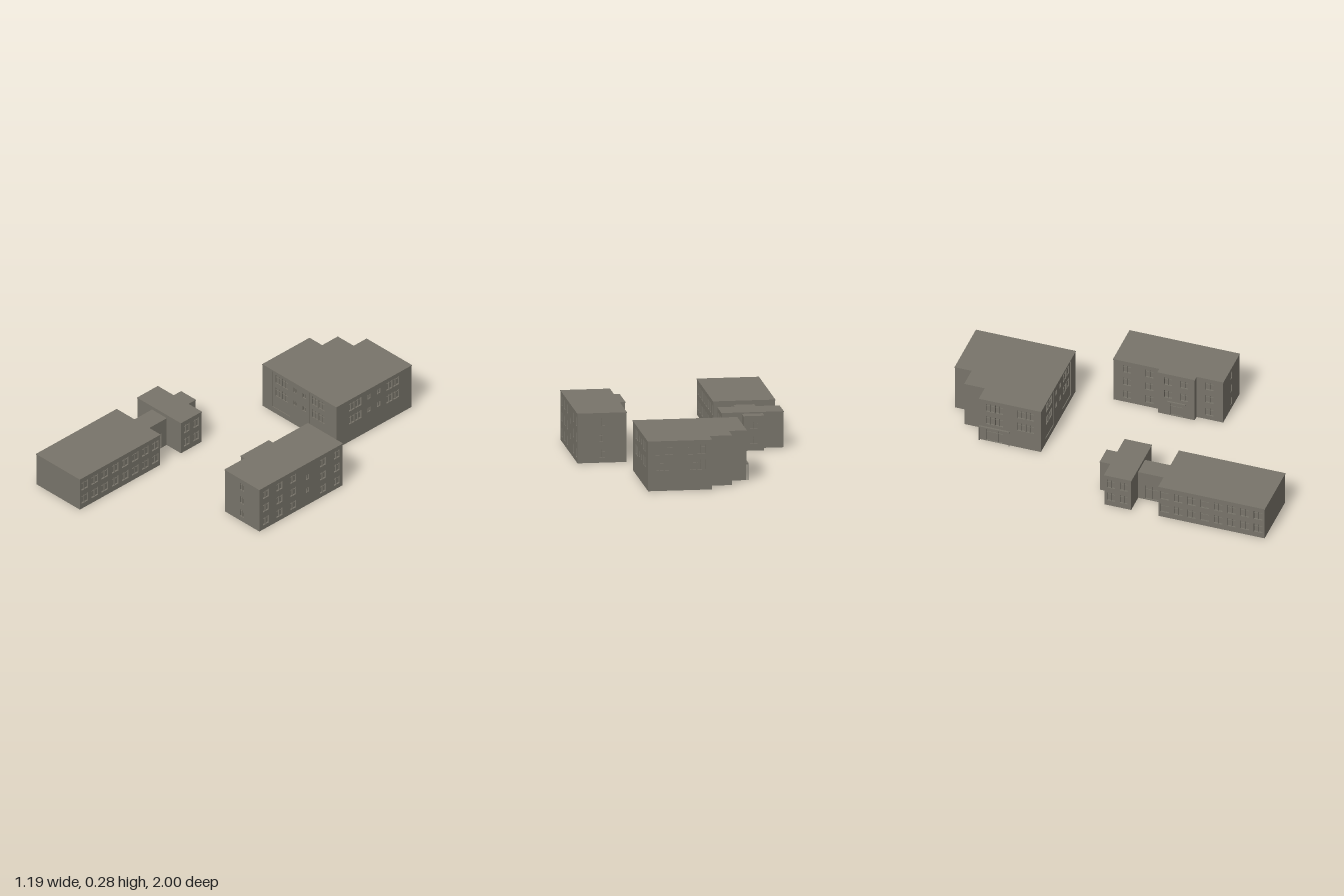
import * as THREE from 'three';

const wallGrey = new THREE.MeshStandardMaterial({ color: 0x78746a });
wallGrey.name = 'wallGrey';
const T = 0.01; // wall thickness, also the depth of the window reveals

function add(parent, name, geo, x = 0, y = 0, z = 0) {
  const m = new THREE.Mesh(geo, wallGrey);
  m.name = name;
  m.position.set(x, y, z);
  parent.add(m);
  return m;
}

function rect(Type, x, y, w, h) {
  const s = new Type();
  s.moveTo(x, y); s.lineTo(x + w, y); s.lineTo(x + w, y + h); s.lineTo(x, y + h);
  s.closePath();
  return s;
}

// Slab with openings {u, y, w, h, panes, inner}; u and y are opening centres
function slab(parent, name, x, y, w, h, openings, depth) {
  const s = rect(THREE.Shape, x, y, w, h);
  for (const o of openings) {
    s.holes.push(rect(THREE.Path, o.u - o.w / 2, o.y - o.h / 2, o.w, o.h));
    if (o.inner) {
      slab(parent, 'recessedPanel', o.u - o.w / 2, o.y - o.h / 2, o.w, o.h,
        o.inner.map(i => ({ ...i, u: o.u + i.u })), depth * 0.6);
    } else {
      for (let k = 1; k < o.panes; k++)
        add(parent, 'mullion', new THREE.BoxGeometry(0.004, o.h, depth * 0.7),
          o.u - o.w / 2 + (k * o.w) / o.panes, o.y, depth * 0.35);
      if (o.panes) add(parent, 'transom', new THREE.BoxGeometry(o.w, 0.002, 0.004), o.u, o.y + o.h * 0.2, 0.002);
    }
  }
  add(parent, name, new THREE.ExtrudeGeometry(s, { depth, bevelEnabled: false }));
}

// Footprint moved outward by d (negative moves inward); right-angled corners only
function offset(pts, d) {
  const n = pts.length;
  const normal = (p, q) => [-Math.sign(q[1] - p[1]), Math.sign(q[0] - p[0])];
  return pts.map((p, i) => {
    const a = normal(pts[(i + n - 1) % n], p), b = normal(p, pts[(i + 1) % n]);
    return [p[0] + d * (a[0] + b[0]), p[1] + d * (a[1] + b[1])];
  });
}

function prism(parent, name, pts, y, height) {
  const s = new THREE.Shape(pts.map(([x, z]) => new THREE.Vector2(x, -z)));
  const g = new THREE.ExtrudeGeometry(s, { depth: height, bevelEnabled: false }).rotateX(-Math.PI / 2);
  return add(parent, name, g, 0, y, 0);
}

// Footprint corners (x, z) run along the front to the right, then round by the back.
// openings[i] belongs to the wall after corner i; c is its world x or z.
function building(root, name, pts, height, openings = {}) {
  const g = new THREE.Group();
  g.name = name;
  root.add(g);
  prism(g, 'core', offset(pts, -T), 0, height - 0.002);
  prism(g, 'roof', offset(pts, 0.002), height - 0.005, 0.005);
  pts.forEach((p, i) => {
    const q = pts[(i + 1) % pts.length];
    const dx = q[0] - p[0], dz = q[1] - p[1], len = Math.hypot(dx, dz);
    const wall = new THREE.Group();
    wall.name = 'wall';
    wall.rotation.y = Math.atan2(-dz, dx);
    wall.position.set(p[0] + (dz / len) * T, 0, p[1] - (dx / len) * T);
    g.add(wall);
    const list = (openings[i] || []).map(o => ({ ...o, u: Math.abs(o.c - (dx ? p[0] : p[1])) }));
    slab(wall, 'facade', 0, 0, len, height - 0.003, list, T);
  });
  return g;
}

const box = (x0, x1, z0, z1) => [[x0, z1], [x1, z1], [x1, z0], [x0, z0]];

// Grid of equal windows
function grid(cs, ys, w, h, panes = 2) {
  return cs.flatMap(c => ys.map(y => ({ c, u: c, y, w, h, panes })));
}

// Pairs of nearly square windows
const pairs = (cs, ys) => grid(cs.flatMap(c => [c - 0.026, c + 0.026]), ys, 0.045, 0.054);

function cuboid(parent, name, x0, x1, y0, y1, z0, z1) {
  add(parent, name, new THREE.BoxGeometry(x1 - x0, y1 - y0, z1 - z0),
    (x0 + x1) / 2, (y0 + y1) / 2, (z0 + z1) / 2);
}

export function createModel() {
  const root = new THREE.Group();
  root.name = 'buildingComplex';

  // Stepped block at the back
  const rows = [0.228, 0.142];
  const panel = c => ({ c, y: 0.152, w: 0.138, h: 0.236, inner: pairs([0], rows) });
  const smallX = grid([-0.01, 0.062], rows, 0.026, 0.03);
  const stepped = building(root, 'steppedBlock', [
    [-0.265, -0.42], [0.315, -0.42], [0.315, -1], [-0.04, -1],
    [-0.04, -0.9], [-0.165, -0.9], [-0.165, -0.78], [-0.265, -0.78],
  ], 0.28, {
    0: [panel(-0.12), panel(0.168), ...smallX],
    1: [...pairs([-0.565, -0.855], rows), ...grid([-0.672, -0.746], rows, 0.026, 0.03)],
    2: pairs([0.225, 0.045], rows),
    7: [...pairs([-0.69, -0.51], rows), { c: -0.69, y: 0.042, w: 0.1, h: 0.08, panes: 3 }],
  });
  cuboid(stepped, 'ledge', -0.04, 0.315, 0.098, 0.102, -1, -0.995);
  cuboid(stepped, 'canopy', -0.276, -0.263, 0.088, 0.096, -0.78, -0.6);
  for (const z of [-0.777, -0.603]) cuboid(stepped, 'canopyPost', -0.275, -0.27, 0, 0.09, z - 0.003, z + 0.003);

  // Three-storey block on the left, with its entrance bay
  const floors = [0.052, 0.14, 0.228];
  const endWindows = grid([0.452], floors, 0.032, 0.045);
  const tall = building(root, 'threeStoreyBlock', box(0.317, 0.59, -0.2, 0.44), 0.28, {
    0: endWindows,
    1: [...grid([0.39, 0.285, 0.18, -0.05, -0.155], floors, 0.045, 0.05),
      ...grid([0.07], [0.1, 0.185], 0.026, 0.03)],
    2: endWindows,
    3: grid([0.36, 0.01, -0.12], floors, 0.045, 0.05),
  });
  building(tall, 'entranceBay', box(0.285, 0.325, 0.07, 0.285), 0.28, {
    3: [...grid([0.13, 0.225], floors.slice(1), 0.045, 0.05), { c: 0.178, y: 0.043, w: 0.07, h: 0.08, panes: 2 }],
  });
  cuboid(tall, 'canopy', 0.276, 0.287, 0.089, 0.096, 0.128, 0.232);

  // Long two-storey block on the right
  const cols = Array.from({ length: 8 }, (_, i) => 0.418 + i * 0.0777);
  const longWindows = grid(cols, [0.06, 0.148], 0.05, 0.055);
  building(root, 'longBlock', box(-0.595, -0.252, 0.382, 1), 0.203, { 1: longWindows, 3: longWindows });

  // Annex, its link to the long block and its rear stair bay
  const annexWindows = grid([0.105, 0.178], [0.06, 0.148], 0.044, 0.055);
  building(root, 'annex', box(-0.595, -0.252, 0.065, 0.222), 0.203, { 1: annexWindows, 3: annexWindows });
  const door = [{ c: 0.302, y: 0.05, w: 0.08, h: 0.09, panes: 2 }];
  building(root, 'link', box(-0.478, -0.365, 0.21, 0.392), 0.18, { 1: door, 3: door });
  building(root, 'stairBay', box(-0.478, -0.365, 0, 0.076), 0.195, {
    2: grid([-0.421], [0.06, 0.142], 0.042, 0.04),
  });

  return root;
}
